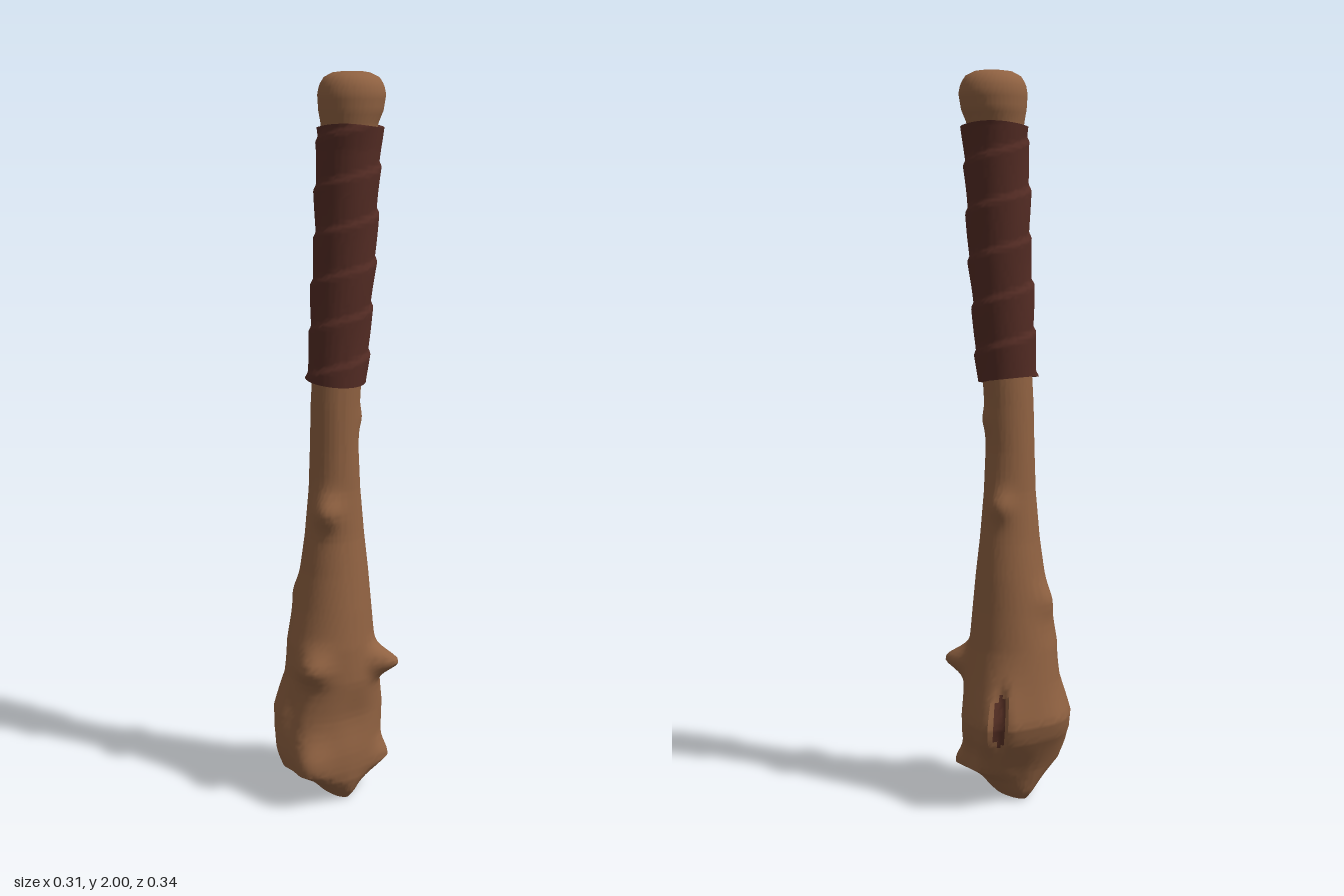
import * as THREE from 'three';
import { toCreasedNormals } from 'three/addons/utils/BufferGeometryUtils.js';

const wood = new THREE.MeshStandardMaterial({ color: 0x8f6141 });
wood.name = 'wood';
const leather = new THREE.MeshStandardMaterial({ color: 0x542c24 });
leather.name = 'leather';
const hollowWood = new THREE.MeshStandardMaterial({ color: 0x5a3226 });
hollowWood.name = 'hollow wood';

// club outline: y, xMin, xMax, zMin, zMax
const ROWS = [
  [0.0, -0.05, 0.085, -0.02, 0.035], [0.02, -0.065, 0.1, -0.04, 0.055],
  [0.06, -0.08, 0.115, -0.075, 0.1], [0.1, -0.095, 0.118, -0.135, 0.155],
  [0.15, -0.12, 0.118, -0.145, 0.16], [0.2, -0.145, 0.115, -0.16, 0.163],
  [0.25, -0.158, 0.113, -0.165, 0.16], [0.35, -0.145, 0.118, -0.145, 0.132],
  [0.45, -0.133, 0.11, -0.128, 0.125], [0.55, -0.118, 0.095, -0.12, 0.1],
  [0.65, -0.105, 0.078, -0.114, 0.08], [0.75, -0.092, 0.062, -0.105, 0.066],
  [0.88, -0.082, 0.052, -0.093, 0.054], [1.0, -0.08, 0.05, -0.086, 0.049],
  [1.12, -0.077, 0.05, -0.09, 0.048], [1.2, -0.075, 0.05, -0.096, 0.044],
  [1.5, -0.078, 0.052, -0.122, 0.022], [1.8, -0.082, 0.054, -0.138, 0.008],
  [1.865, -0.088, 0.06, -0.143, 0.01], [1.9, -0.097, 0.068, -0.16, 0.016],
  [1.94, -0.1, 0.071, -0.168, 0.019], [1.965, -0.096, 0.066, -0.163, 0.014],
  [1.985, -0.083, 0.054, -0.15, 0.002], [1.997, -0.06, 0.03, -0.126, -0.02],
  [2.0, -0.04, 0.012, -0.105, -0.045],
];

// knots and dents: angle (0 = +x, 90 = +z), y, relative height, angle spread, y spread
const KNOTS = [
  [-38, 0.395, 0.52, 15, 0.036], [55, 0.4, 0.3, 20, 0.045],
  [50, 0.12, 0.3, 20, 0.07], [-47, 0.1, 0.24, 18, 0.045],
  [-128, 0.27, 0.2, 24, 0.1], [152, 0.58, 0.14, 24, 0.045],
  [48, 0.83, 0.42, 28, 0.045], [-125, 0.85, 0.28, 26, 0.04],
  [-70, 1.08, 0.12, 25, 0.03], [165, 0.24, 0.06, 22, 0.06],
  [105, 0.14, 0.08, 16, 0.05], [0, 0.24, -0.08, 20, 0.08],
  [78, 0.27, -0.09, 14, 0.07], [-88, 0.16, -0.08, 16, 0.06],
  [130, 0.4, -0.06, 18, 0.08], [-155, 0.1, -0.08, 18, 0.05],
];

const HOLLOW = { angle: -130, y: 0.265, spread: 8, height: 0.09 };
const angleGap = (a, b) => ((a - b + 540) % 360) - 180;
const hollowDistance = (deg, y) =>
  Math.hypot(angleGap(deg, HOLLOW.angle) / HOLLOW.spread, (y - HOLLOW.y) / HOLLOW.height);

function outline(y) {
  let i = 0;
  while (i < ROWS.length - 2 && ROWS[i + 1][0] < y) i++;
  const t = THREE.MathUtils.clamp((y - ROWS[i][0]) / (ROWS[i + 1][0] - ROWS[i][0]), 0, 1);
  return ROWS[i].map((v, k) => v + (ROWS[i + 1][k] - v) * t);
}

// point on the club at an angle and height, grown by extra and scaled toward the core
function clubPoint(deg, y, extra = 0, scale = 1) {
  const [, x0, x1, z0, z1] = outline(y);
  let swell = 1;
  for (const [a, ky, h, sa, sy] of KNOTS) {
    const d = (angleGap(deg, a) / sa) ** 2 + ((y - ky) / sy) ** 2;
    swell += h * Math.exp(-d);
  }
  swell -= 0.16 * Math.exp(-(hollowDistance(deg, y) ** 4));
  const a = THREE.MathUtils.degToRad(deg);
  return [
    (x0 + x1) / 2 + Math.cos(a) * ((x1 - x0) / 2 * swell + extra) * scale,
    y,
    (z0 + z1) / 2 + Math.sin(a) * ((z1 - z0) / 2 * swell + extra) * scale,
  ];
}

// skin rings of points; faces picked by isSecond go to a second material group
function loft(rows, sides, pointAt, crease, isSecond = () => false) {
  const positions = [], first = [], second = [];
  for (let j = 0; j < rows; j++)
    for (let i = 0; i < sides; i++) positions.push(...pointAt(j, (i / sides) * 360));
  for (let j = 0; j < rows - 1; j++)
    for (let i = 0; i < sides; i++) {
      const n = (i + 1) % sides;
      const a = j * sides + i, b = j * sides + n, c = a + sides, d = b + sides;
      const list = isSecond(j, ((i + 0.5) / sides) * 360) ? second : first;
      list.push(a, c, b, b, c, d);
    }
  const geometry = new THREE.BufferGeometry();
  geometry.setAttribute('position', new THREE.Float32BufferAttribute(positions, 3));
  geometry.setIndex([...first, ...second]);
  geometry.addGroup(0, first.length, 0);
  geometry.addGroup(first.length, second.length, 1);
  return toCreasedNormals(geometry, crease);
}

export function createModel() {
  const group = new THREE.Group();

  // gnarled wooden body with the rounded knob, closed at both ends
  const heights = [0];
  for (let y = 0; y < 1.2; y += 0.01) heights.push(y);
  for (let y = 1.2; y < 1.86; y += 0.06) heights.push(y);
  for (let y = 1.86; y < 1.98; y += 0.01) heights.push(y);
  heights.push(1.985, 1.992, 1.997, 2, 2);
  const last = heights.length - 1;
  const body = new THREE.Mesh(
    loft(
      heights.length, 96,
      (j, deg) => clubPoint(deg, heights[j], 0, j === 0 || j === last ? 0 : 1),
      0.7,
      (j, deg) => hollowDistance(deg, heights[j] + 0.005) < 0.82,
    ),
    [wood, hollowWood],
  );
  body.name = 'clubBody';
  group.add(body);

  // leather grip: one strip wound in a spiral, each turn overlapping the next
  const turns = 100, pitch = 0.125;
  const grip = new THREE.Mesh(
    loft(
      turns + 3, 64,
      (j, deg) => {
        const t = THREE.MathUtils.clamp((j - 1) / turns, 0, 1);
        const a = THREE.MathUtils.degToRad(deg);
        const bottom = 1.187 - 0.012 * Math.cos(a);
        const top = 1.862 + 0.006 * Math.sin(a * 2);
        const y = bottom + (top - bottom) * t;
        const phase = y / pitch + deg / 360;
        const step = phase - Math.floor(phase);
        const lap = 0.008 * Math.min(step, (1 - step) * 8);
        const wobble = 0.0015 * Math.sin(a * 3 + y * 23);
        const inside = j === 0 || j === turns + 2;
        return clubPoint(deg, y, inside ? -0.008 : 0.011 + lap + wobble);
      },
      0.7,
    ),
    leather,
  );
  grip.name = 'leatherGrip';
  group.add(grip);

  return group;
}
